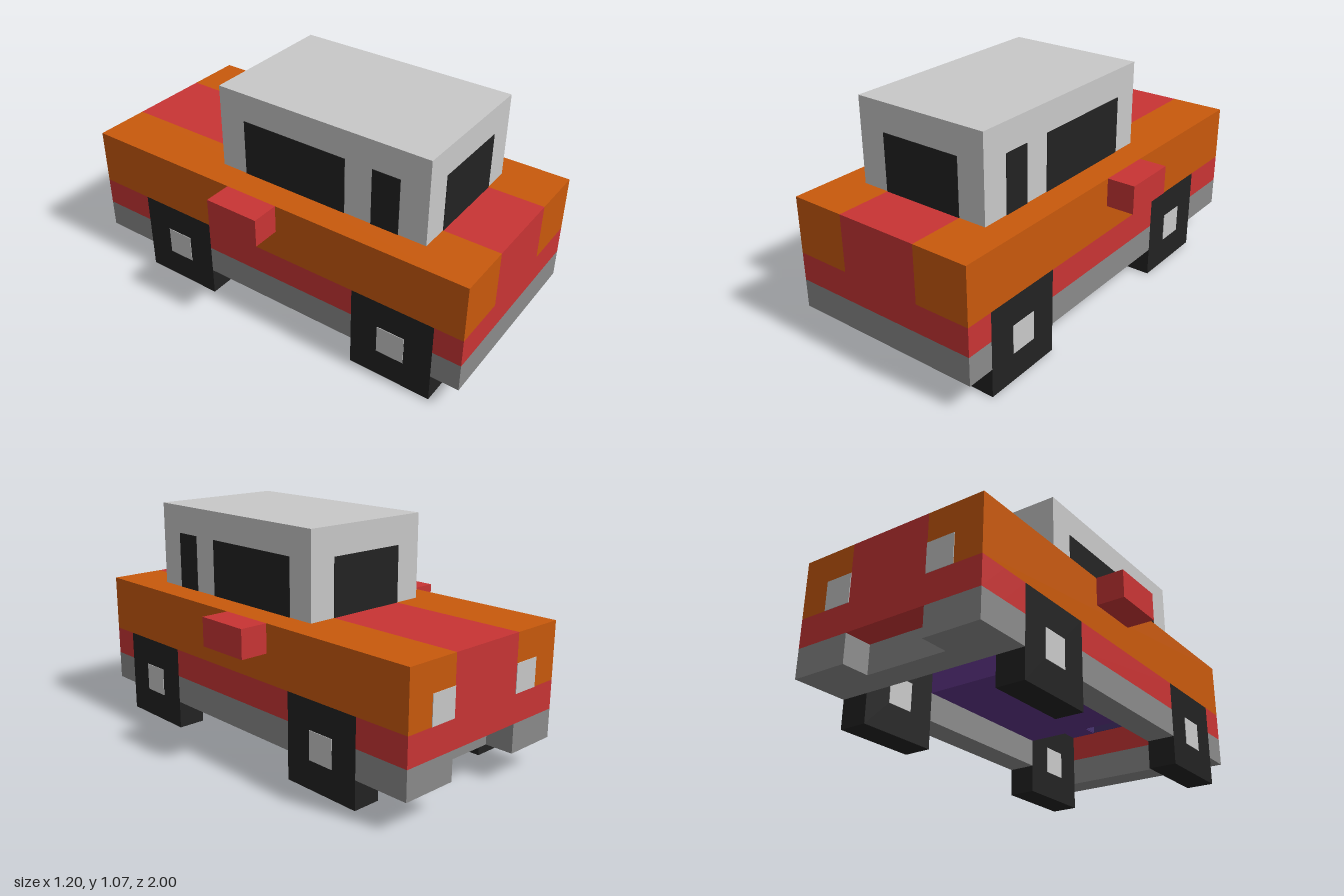
import * as THREE from 'three';

const mat = (name, color) => {
  const m = new THREE.MeshStandardMaterial({ color });
  m.name = name;
  return m;
};

export function createModel() {
  const orange = mat('orange paint', 0xc8590c);
  const red = mat('red paint', 0xc83434);
  const grey = mat('grey trim', 0x8a8a8a);
  const pale = mat('pale grey', 0xc8c8c8);
  const black = mat('black', 0x222222);
  const purple = mat('purple floor', 0x5f3588);
  const indigo = mat('indigo lining', 0x46326e);

  const car = new THREE.Group();
  car.name = 'car';

  // All sizes snap to a grid of fifteen units per length 1
  const U = 1 / 15;
  const T = 0.04; // thin plates, in grid units

  // Box given by its ranges in grid units
  function box(name, m, [x0, x1], [y0, y1], [z0, z1]) {
    const g = new THREE.BoxGeometry((x1 - x0) * U, (y1 - y0) * U, (z1 - z0) * U);
    const mesh = new THREE.Mesh(g, m);
    mesh.position.set((x0 + x1) * U / 2, (y0 + y1) * U / 2, (z0 + z1) * U / 2);
    mesh.name = name;
    car.add(mesh);
  }
  // Same box on the left (+x) and the right (-x)
  function pair(name, m, [x0, x1], y, z) {
    box(name + 'Left', m, [x0, x1], y, z);
    box(name + 'Right', m, [-x1, -x0], y, z);
  }

  // Upper body: orange flanks with a red centre stripe, hollow under the front
  pair('flank', orange, [3, 7], [6, 10], [-15, 15]);
  box('centreStripe', red, [-3, 3], [6, 10], [-15, 7]);
  box('hoodStripe', red, [-3, 3], [8, 10], [7, 13]);
  box('noseStripe', red, [-3, 3], [6, 10], [13, 15]);

  // Lower side walls, open at the wheels
  for (const z of [[-13, -11], [-5, 7]]) {
    pair('sill', red, [5, 7], [4, 6], z);
    pair('skirt', grey, [5, 7], [2, 4], z);
  }

  // Front and rear ends; the rear bumper has a recess in the middle
  box('frontBand', red, [-7, 7], [4, 6], [13, 15]);
  box('frontBumper', grey, [-7, 7], [2, 4], [13, 15]);
  box('rearBand', red, [-7, 7], [4, 6], [-15, -13]);
  pair('rearBumper', grey, [3, 7], [2, 4], [-15, -13]);
  box('rearBeam', grey, [-5, 5], [2, 4], [-13, -11]);

  // Underside
  box('floor', purple, [-5, 5], [4, 6], [-5, 7]);
  box('rearLining', purple, [-5, 5], [6 - T, 6], [-13, -5]);
  pair('frontLining', purple, [3, 5], [6 - T, 6], [7, 13]);
  box('hoodLining', purple, [-3, 3], [8 - T, 8], [7, 13]);
  box('noseLining', indigo, [-3, 3], [6, 8], [13 - T, 13]);
  pair('bayLining', indigo, [3 - T, 3], [6, 8], [7, 13]);

  // Cabin and windows
  box('cabin', pale, [-5, 5], [10, 16], [-5, 11]);
  box('windscreen', black, [-3, 3], [10, 14], [11, 11 + T]);
  box('rearWindow', black, [-3, 3], [10, 14], [-5 - T, -5]);
  pair('frontSideWindow', black, [5, 5 + T], [10, 14], [7, 9]);
  pair('rearSideWindow', black, [5, 5 + T], [10, 14], [-3, 5]);

  // Mirrors and tail lights
  pair('mirror', red, [7, 9], [8, 10], [-3, 1]);
  pair('tailLight', pale, [3, 5], [6, 8], [-15 - T, -15]);

  // Square wheels with hubs on both faces
  for (const [end, z] of [['front', 10], ['rear', -8]]) {
    pair(end + 'Wheel', black, [5, 7], [0, 6], [z - 3, z + 3]);
    pair(end + 'HubOuter', pale, [7, 7 + T], [2, 4], [z - 1, z + 1]);
    pair(end + 'HubInner', pale, [5 - T, 5], [2, 4], [z - 1, z + 1]);
  }

  return car;
}
